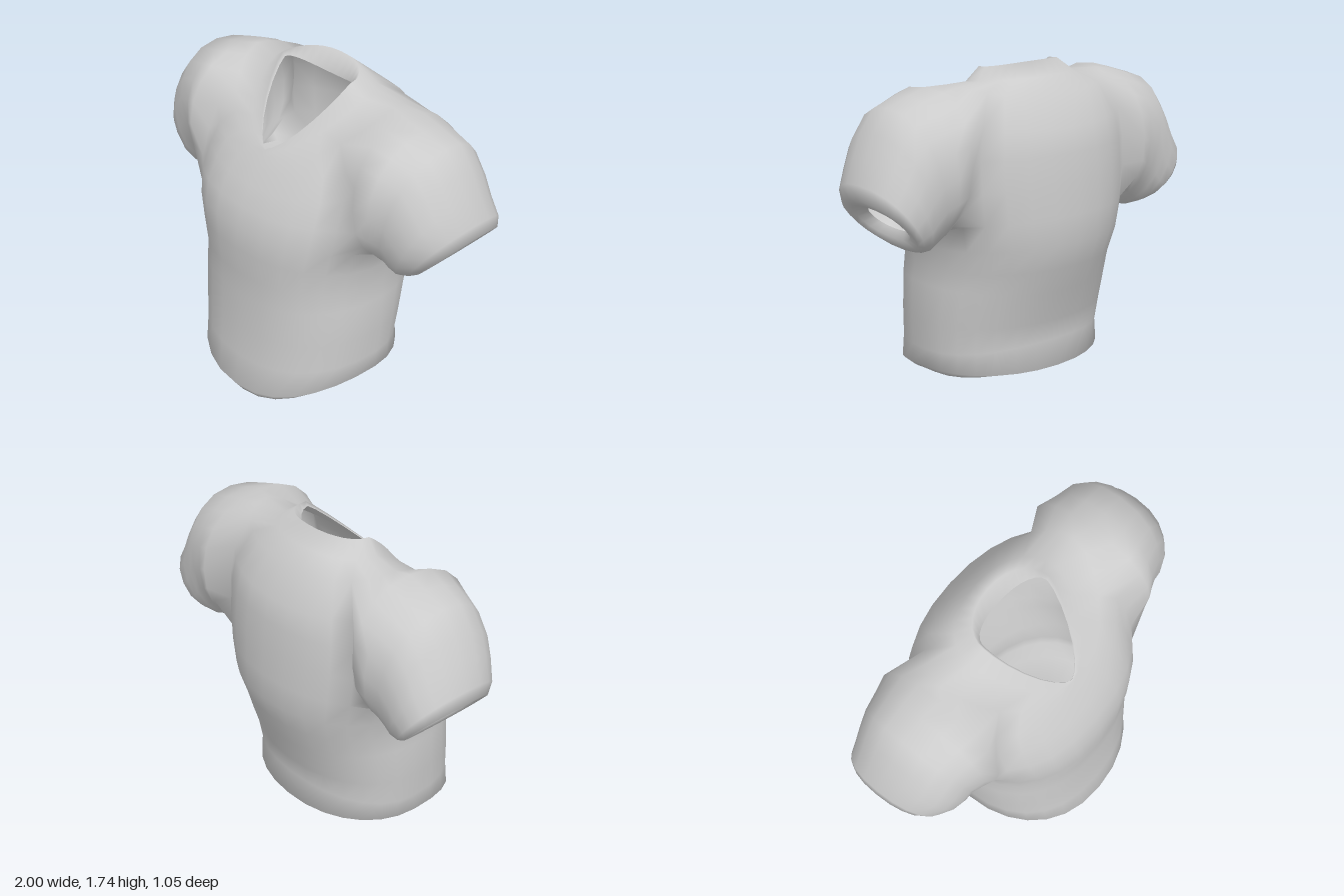
import * as THREE from 'three';

const SEG = 28; // points around the torso
const HOLE = { from: 8, to: 12, half: 3 }; // armhole: torso rows and half width in segments

// Signed power, used for superellipse outlines
const spow = (v, p) => Math.sign(v) * Math.pow(Math.abs(v), p);

// Torso rings: [y side, y front, y back, half width, z front, z back, z centre, front exponent]
const torsoRows = [
  [0.21, 0.1, 0.22, 0.27, 0.3, -0.17, 0.05, 2.1], // turned-in hem opening
  [0.16, 0.0, 0.185, 0.46, 0.48, -0.31, 0.04, 2.1],
  [0.21, 0.07, 0.2, 0.527, 0.53, -0.38, 0.03, 2.2],
  [0.3, 0.25, 0.34, 0.522, 0.505, -0.365, 0.02, 2.3],
  [0.45, 0.42, 0.45, 0.537, 0.49, -0.385, 0.01, 2.3],
  [0.65, 0.62, 0.62, 0.537, 0.48, -0.445, 0, 2.3],
  [0.74, 0.75, 0.75, 0.525, 0.48, -0.485, -0.01, 2.3],
  [0.86, 0.9, 0.88, 0.55, 0.49, -0.525, -0.03, 2.3],
  [0.99, 1.02, 1.02, 0.58, 0.48, -0.522, -0.05, 2.4],
  [1.15, 1.13, 1.18, 0.6, 0.45, -0.512, -0.06, 2.4],
  [1.32, 1.23, 1.32, 0.6, 0.395, -0.495, -0.07, 2.3],
  [1.48, 1.31, 1.44, 0.57, 0.345, -0.47, -0.08, 2.2],
  [1.655, 1.36, 1.59, 0.48, 0.308, -0.38, -0.1, 1.9],
  [1.65, 1.382, 1.67, 0.315, 0.294, -0.3, -0.07, 1.65],
  [1.71, 1.39, 1.737, 0.235, 0.286, -0.22, -0.05, 1.5], // collar edge with V front
  [1.69, 1.385, 1.63, 0.22, 0.284, -0.17, -0.05, 1.5], // turned-in collar lip
];

function torsoPoint([ys, yf, yb, w, zf, zb, zc, n], a) {
  const c = Math.cos(a), s = Math.sin(a), front = s > 0;
  const e = 2 / (front ? n : 2.15);
  const blend = Math.pow(Math.abs(s), n < 2 ? 1.5 : 2);
  return [
    -0.02 + w * spow(c, e),
    ys + ((front ? yf : yb) - ys) * blend,
    zc + (front ? zf - zc : zc - zb) * spow(s, e),
  ];
}

// Sleeve sections: [top x, top y, bottom x, bottom y, z front, z back]
const sleeveRows = [
  [0.56, 1.65, 0.6, 0.955, 0.295, -0.425],
  [0.67, 1.62, 0.615, 0.925, 0.265, -0.41],
  [0.8, 1.58, 0.635, 0.905, 0.235, -0.395],
  [0.885, 1.47, 0.66, 0.89, 0.225, -0.385],
  [0.935, 1.36, 0.69, 0.88, 0.205, -0.38],
  [0.995, 1.25, 0.735, 0.895, 0.16, -0.37],
  [1.0, 1.18, 0.77, 0.92, 0.12, -0.35],
  [0.95, 1.14, 0.785, 0.96, 0.08, -0.29],
  [0.88, 1.12, 0.765, 1.0, 0.03, -0.24], // turned-in cuff opening
];

function sleevePoint([xt, yt, xb, yb, zf, zb], a, side) {
  const t = (1 - spow(Math.cos(a), 0.9)) / 2;
  return [
    side * (xt + (xb - xt) * t),
    yt + (yb - yt) * t,
    (zf + zb) / 2 + ((zf - zb) / 2) * spow(Math.sin(a), 0.9),
  ];
}

// Armhole boundary as torso vertex indices: top middle, down the front, up the back
function armhole(side) {
  const { from, to, half } = HOLE;
  const centre = side > 0 ? 0 : SEG / 2;
  const at = (j, k) => j * SEG + ((centre + side * k + SEG) % SEG);
  const loop = [];
  for (let k = 0; k < half; k++) loop.push(at(to, k));
  for (let j = to; j > from; j--) loop.push(at(j, half));
  for (let k = half; k > -half; k--) loop.push(at(from, k));
  for (let j = from; j < to; j++) loop.push(at(j, -half));
  for (let k = -half; k < 0; k++) loop.push(at(to, k));
  return loop;
}

export function createModel() {
  const pos = [], index = [];
  const quad = (a, b, c, d, flip) =>
    flip ? index.push(a, b, c, b, d, c) : index.push(a, c, b, b, c, d);

  // Torso, leaving the two armholes open
  torsoRows.forEach((row) => {
    for (let i = 0; i < SEG; i++) pos.push(...torsoPoint(row, (i / SEG) * Math.PI * 2));
  });
  for (let j = 0; j < torsoRows.length - 1; j++) {
    for (let i = 0; i < SEG; i++) {
      const inHole = j >= HOLE.from && j < HOLE.to
        && (i + HOLE.half) % (SEG / 2) < 2 * HOLE.half;
      const a = j * SEG + i, b = j * SEG + ((i + 1) % SEG);
      if (!inHole) quad(a, b, a + SEG, b + SEG, false);
    }
  }

  // Sleeves grow out of the armhole loops
  for (const side of [1, -1]) {
    let ring = armhole(side);
    const count = ring.length;
    for (const row of sleeveRows) {
      const start = pos.length / 3;
      const next = ring.map((_, i) => start + i);
      next.forEach((_, i) => pos.push(...sleevePoint(row, (i / count) * Math.PI * 2, side)));
      for (let i = 0; i < count; i++) {
        const k = (i + 1) % count;
        quad(ring[i], ring[k], next[i], next[k], side > 0);
      }
      ring = next;
    }
  }

  const geo = new THREE.BufferGeometry();
  geo.setAttribute('position', new THREE.Float32BufferAttribute(pos, 3));
  geo.setIndex(index);
  geo.computeVertexNormals();
  const material = new THREE.MeshStandardMaterial({ color: 0xcccccc, side: THREE.DoubleSide });
  const body = new THREE.Mesh(geo, material);
  body.name = 'torsoAndSleeves';

  const shirt = new THREE.Group();
  shirt.name = 'shirt';
  shirt.add(body);
  return shirt;
}
